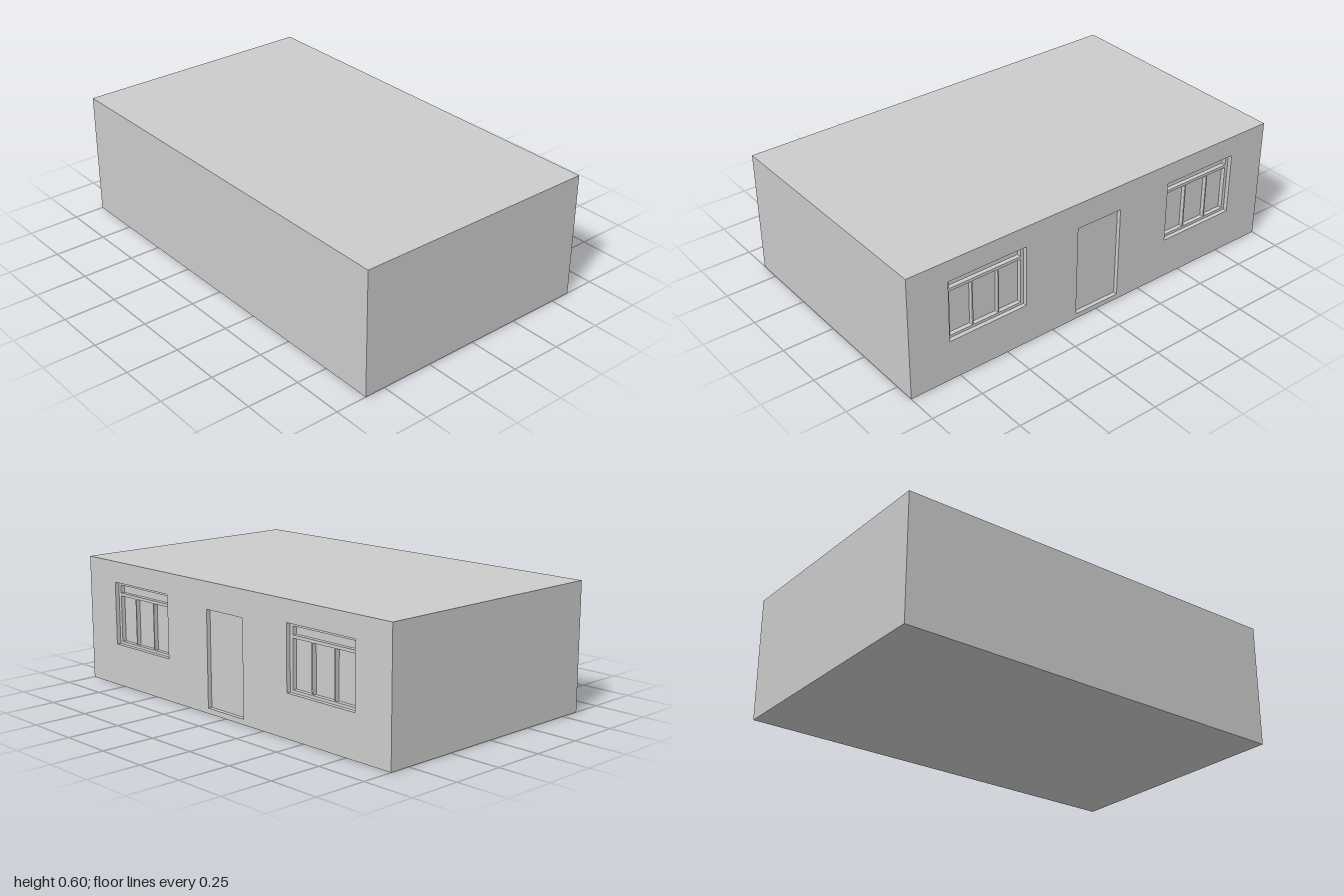
import * as THREE from 'three';

const material = new THREE.MeshStandardMaterial({ color: 0xcccccc });
const WIDTH = 2, HEIGHT = 0.6, DEPTH = 1.2, RECESS = 0.02;
const FACE = DEPTH / 2;

function add(parent, name, geometry) {
  const mesh = new THREE.Mesh(geometry, material);
  mesh.name = name;
  parent.add(mesh);
  return mesh;
}

// Rectangles are [x0, y0, x1, y1] in the plane of the facade.
function trace(path, [x0, y0, x1, y1]) {
  path.moveTo(x0, y0);
  path.lineTo(x1, y0);
  path.lineTo(x1, y1);
  path.lineTo(x0, y1);
  path.closePath();
  return path;
}

// Flat panel at depth z, pierced by rectangular openings.
function panel(rect, openings, z) {
  const shape = trace(new THREE.Shape(), rect);
  shape.holes = openings.map((r) => trace(new THREE.Path(), r));
  return new THREE.ShapeGeometry(shape).translate(0, 0, z);
}

// Inward-facing pocket behind depth z: four reveals and, if wanted, a back.
function pocket([x0, y0, x1, y1], z, withBack) {
  const g = new THREE.BoxGeometry(x1 - x0, y1 - y0, RECESS);
  const index = Array.from(g.index.array);
  const kept = index.slice(0, 24).concat(withBack ? index.slice(30) : []);
  g.setIndex(kept.reverse());
  g.clearGroups();
  const n = g.attributes.normal.array;
  for (let i = 0; i < n.length; i++) n[i] = -n[i];
  return g.translate((x0 + x1) / 2, (y0 + y1) / 2, z - RECESS / 2);
}

export function createModel() {
  const model = new THREE.Group();
  model.name = 'house';

  // Built with the facade facing +z, then turned to face +x.
  const house = new THREE.Group();
  house.name = 'building';
  house.rotation.y = Math.PI / 2;
  model.add(house);

  // Plain walls, roof and floor: a box without its facade side
  const shell = new THREE.BoxGeometry(WIDTH, HEIGHT, DEPTH).translate(0, HEIGHT / 2, 0);
  const sides = Array.from(shell.index.array);
  shell.setIndex(sides.slice(0, 24).concat(sides.slice(30)));
  shell.clearGroups();
  add(house, 'wallsAndRoof', shell);

  // Facade with a door between two windows
  const door = [-0.12, 0.025, 0.12, 0.475];
  const windows = [-0.6, 0.6].map((x) => [x - 0.2, 0.2, x + 0.2, 0.5]);
  add(house, 'facade', panel([-WIDTH / 2, 0, WIDTH / 2, HEIGHT], [door, ...windows], FACE));
  add(house, 'door', pocket(door, FACE, true));

  // Pane openings relative to the window's centre line: transom and three lights
  const paneLayout = [
    [-0.183, 0.448, 0.183, 0.486],
    [-0.183, 0.213, -0.07, 0.434],
    [-0.064, 0.213, 0.064, 0.434],
    [0.07, 0.213, 0.183, 0.434],
  ];
  windows.forEach((rect, i) => {
    const group = new THREE.Group();
    group.name = i === 0 ? 'frontWindow' : 'backWindow';
    house.add(group);
    const centre = (rect[0] + rect[2]) / 2;
    const panes = paneLayout.map(([x0, y0, x1, y1]) => [centre + x0, y0, centre + x1, y1]);
    add(group, 'windowReveal', pocket(rect, FACE, false));
    add(group, 'windowFrame', panel(rect, panes, FACE - RECESS));
    panes.forEach((p, k) => add(group, k === 0 ? 'transomPane' : 'pane', pocket(p, FACE - RECESS, true)));
  });

  return model;
}
